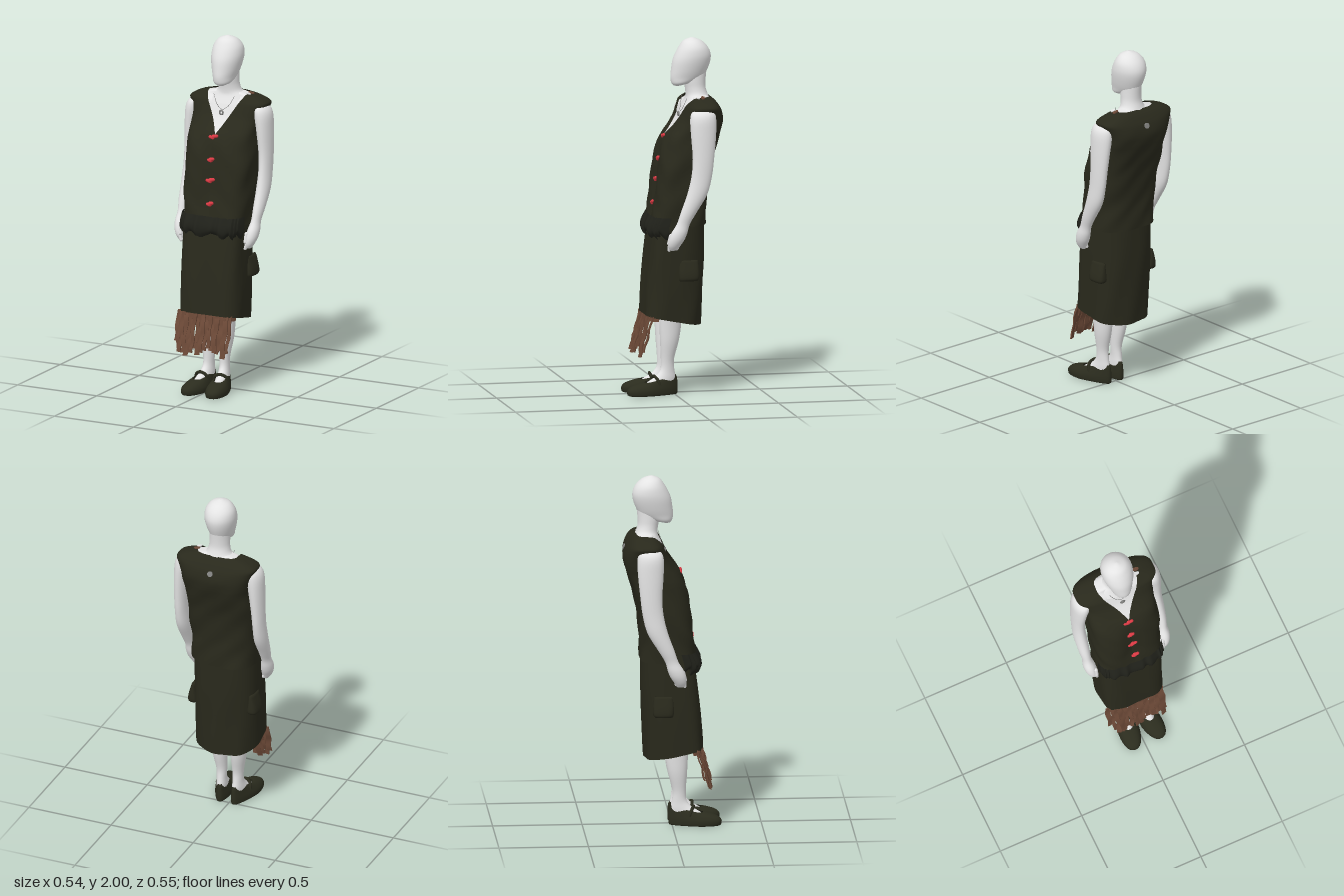
import * as THREE from 'three';

const mat = (name, color) => {
  const m = new THREE.MeshStandardMaterial({ color });
  m.name = name;
  m.side = THREE.DoubleSide;
  return m;
};
const curve = pts => new THREE.CatmullRomCurve3(pts.map(q => new THREE.Vector3(...q)));
const clamp01 = v => Math.max(0, Math.min(1, v));

// Smooth interpolation through the rows of a cross-section list
function sample(rows, t) {
  const f = t * (rows.length - 1), i = Math.min(Math.floor(f), rows.length - 2), u = f - i;
  const at = k => rows[Math.max(0, Math.min(rows.length - 1, k))];
  return rows[0].map((_, c) => {
    const [a, b, d, e] = [at(i - 1)[c], at(i)[c], at(i + 1)[c], at(i + 2)[c]];
    const v0 = (d - a) / 2, v1 = (e - b) / 2;
    return b + v0 * u + (3 * (d - b) - 2 * v0 - v1) * u * u + (2 * (b - d) + v0 + v1) * u * u * u;
  });
}

// Surface through horizontal rings [y, centre x, half width, front z, back z], listed upwards.
// p and pb square the front and back of the rings, gap(y, w) opens them at the front,
// span limits the angle, warp bends them.
function loft(rows, { p = 1, pb = p, n = 28, sub = 4, gap, span = Math.PI, caps = false, warp } = {}) {
  const pos = [], idx = [], m = (rows.length - 1) * sub;
  const closed = !gap && span === Math.PI, cols = closed ? n : n + 1;
  const pw = (v, e) => Math.sign(v) * Math.abs(v) ** e;
  const v = new THREE.Vector3();
  for (let i = 0; i <= m; i++) {
    const [y, xc, w, zf, zb] = sample(rows, i / m);
    const g = gap ? gap(y, w) : Math.PI - span;
    for (let j = 0; j < cols; j++) {
      const a = gap ? g + (j / n) * 2 * (Math.PI - g) : -span + (j / n) * 2 * span;
      const e = Math.cos(a) > 0 ? p : pb;
      v.set(xc + w * pw(Math.sin(a), e), y, (zf + zb) / 2 + (zf - zb) / 2 * pw(Math.cos(a), e));
      if (warp) warp(v, i / m, a);
      pos.push(v.x, v.y, v.z);
    }
  }
  for (let i = 0; i < m; i++) for (let j = 0; j < n; j++) {
    const k = (j + 1) % cols, a = i * cols + j, b = i * cols + k;
    idx.push(a, b, b + cols, a, b + cols, a + cols);
  }
  if (caps) for (let j = 1; j < cols - 1; j++) {
    const t = m * cols;
    idx.push(0, j + 1, j, t, t + j, t + j + 1);
  }
  const geo = new THREE.BufferGeometry();
  geo.setAttribute('position', new THREE.Float32BufferAttribute(pos, 3));
  geo.setIndex(idx);
  geo.computeVertexNormals();
  return geo;
}

export function createModel() {
  const root = new THREE.Group();
  const skin = mat('pale skin', 0xe4e4e4), cloth = mat('dark olive cloth', 0x29291c);
  const frill = mat('dark frill', 0x20211a), brown = mat('brown fringe', 0x6c4937);
  const red = mat('red clasps', 0xdb3a44), grey = mat('grey metal', 0x858583);
  const leather = mat('olive leather', 0x2b2c1e);
  const add = (name, geo, m, parent = root) => {
    const mesh = new THREE.Mesh(geo, m);
    mesh.name = name;
    parent.add(mesh);
    return mesh;
  };
  let seed = 7;
  const rnd = () => (seed = (seed * 16807) % 2147483647) / 2147483647;

  // Head and neck
  add('head', loft([
    [1.732, 0, 0.022, -0.008, -0.05], [1.748, 0, 0.05, 0.004, -0.11], [1.78, 0, 0.063, 0.009, -0.175],
    [1.82, 0, 0.076, 0.005, -0.2], [1.87, 0, 0.087, -0.003, -0.217], [1.91, 0, 0.089, -0.018, -0.218],
    [1.95, 0, 0.08, -0.04, -0.2], [1.983, 0, 0.052, -0.066, -0.165], [2, 0, 0.008, -0.105, -0.122],
  ], { caps: true, n: 32 }), skin);
  add('neck', loft([
    [1.62, 0, 0.13, -0.055, -0.22], [1.66, 0, 0.1, -0.075, -0.21], [1.685, 0, 0.07, -0.078, -0.2],
    [1.72, 0, 0.059, -0.074, -0.19], [1.76, 0, 0.057, -0.065, -0.19], [1.81, 0, 0.056, -0.06, -0.195],
  ]), skin);

  // Vest with an open V neck, and the torso just inside it
  const vestRows = [
    [0.96, 0, 0.19, 0.135, -0.18], [1.05, 0, 0.19, 0.125, -0.18], [1.15, 0, 0.195, 0.112, -0.185],
    [1.3, 0, 0.2, 0.095, -0.21], [1.4, 0, 0.2, 0.07, -0.238], [1.46, 0, 0.2, 0.042, -0.256],
    [1.5, 0, 0.204, 0.012, -0.267], [1.55, 0, 0.21, -0.022, -0.274], [1.6, 0, 0.228, -0.045, -0.264],
    [1.632, 0, 0.238, -0.06, -0.247], [1.66, 0, 0.185, -0.085, -0.225], [1.677, 0, 0.118, -0.1, -0.2],
  ];
  const P = 0.58;
  const neckline = (y, w) => {
    const half = Math.max(0, 0.118 * (y - 1.465) / 0.205);
    return Math.asin(Math.min(1, half / w) ** (1 / P));
  };
  // Cloth folds, with a shallow valley along the front closure
  const folds = v => {
    const f = clamp01((1.62 - v.y) * 5);
    const front = v.z > 0 ? clamp01((1.46 - v.y) * 8) * clamp01((v.y - 0.96) * 6) : 0;
    v.z += f * 0.006 * Math.sin(v.x * 27 + v.y * 14) * Math.sin(v.y * 23 + v.x * 9);
    v.z -= front * 0.018 * Math.exp(-((v.x / 0.045) ** 2));
    v.x += f * 0.004 * Math.sin(v.y * 30 + v.z * 25);
  };
  add('vest', loft(vestRows, { p: P, pb: 0.68, n: 80, gap: neckline, warp: folds }), cloth);
  const torsoRows = vestRows.slice(4, -1).map(([y, x, w, zf, zb]) => [y - 0.006, x, w * 0.92, zf - 0.015, zb + 0.018]);
  torsoRows.push([1.672, 0, 0.11, -0.105, -0.195], [1.684, 0, 0.05, -0.11, -0.185]);
  add('torso', loft(torsoRows, { p: P, pb: 0.68, n: 48 }), skin);

  // Worn patches on the left shoulder seam, and a small disc below the nape
  for (const [name, m, x, z, w, d] of [['shoulderFray', brown, 0.13, -0.148, 0.04, 0.022], ['shoulderHole', skin, 0.126, -0.123, 0.03, 0.02]]) {
    const patch = add(name, new THREE.CylinderGeometry(0.5, 0.5, 0.006, 7).scale(w, 1, d), m);
    patch.position.set(x, 1.677, z);
    patch.rotation.z = -0.2;
  }
  const disc = add('napeDisc', new THREE.CylinderGeometry(0.016, 0.016, 0.008, 16), grey);
  disc.position.set(0, 1.597, -0.266);
  disc.rotation.x = Math.PI / 2 + 0.25;

  // Gathered frill on the front hem of the vest
  add('vestFrill', loft([
    [0.905, 0, 0.18, 0.145, -0.1], [0.93, 0, 0.194, 0.158, -0.1],
    [0.965, 0, 0.194, 0.155, -0.1], [1.012, 0, 0.19, 0.133, -0.1],
  ], {
    p: P, n: 160, span: 1.5, warp: (v, t, a) => {
      const s = Math.sin(a * 22 + Math.sin(a * 7) * 2);
      v.z += 0.01 * s * (1 - t * 0.7);
      v.y += (1 - t) * (0.014 * Math.sin(a * 13) + 0.008 * s);
    },
  }), frill);

  // Knotted clasps down the front of the vest
  for (const [x, y, z, w] of [[-0.004, 1.45, 0.045, 0.05], [-0.004, 1.325, 0.076, 0.032], [0, 1.21, 0.09, 0.048], [0.008, 1.08, 0.111, 0.034]]) {
    const clasp = new THREE.Group();
    clasp.name = 'clasp';
    clasp.position.set(x, y, z);
    root.add(clasp);
    add('claspKnot', new THREE.SphereGeometry(0.014, 12, 8), red, clasp);
    for (const s of [-1, 1]) {
      const loop = add('claspLoop', new THREE.CapsuleGeometry(0.0095, w * 0.4, 4, 8), red, clasp);
      loop.rotation.z = Math.PI / 2 + s * 0.3;
      loop.position.set(s * w * 0.22, s * 0.004, 0.004);
    }
  }

  // Necklace with a pendant
  const chain = curve([[-0.065, 1.665, -0.07], [-0.035, 1.61, -0.054], [0, 1.588, -0.047],
    [0.035, 1.61, -0.054], [0.065, 1.665, -0.07]]);
  add('necklaceChain', new THREE.TubeGeometry(chain, 24, 0.0013, 6), grey);
  const ring = add('pendant', new THREE.TorusGeometry(0.011, 0.005, 6, 14), grey);
  ring.position.set(0, 1.572, -0.036);

  // Skirt, square in front and round behind, hem lower at the back
  add('skirt', loft([
    [0.42, 0, 0.18, 0.17, -0.155], [0.6, 0, 0.183, 0.158, -0.165],
    [0.8, 0, 0.184, 0.14, -0.175], [1.02, 0, 0.18, 0.115, -0.172],
  ], {
    p: 0.42, pb: 0.85, n: 72, sub: 6, warp: v => {
      const f = clamp01((1 - v.y) * 2);
      v.z += 0.004 * Math.sin(v.x * 40 + v.y * 8) * f;
      v.x += 0.003 * Math.sin(v.z * 35 + v.y * 11) * f;
      v.y += 0.2 * v.z * f;
    },
  }), cloth);

  // Ragged fringe hanging from the front of the hem
  const fringe = new THREE.Group();
  fringe.name = 'fringe';
  root.add(fringe);
  const strips = 18;
  for (let i = 0; i < strips; i++) {
    const u = 2 * i / (strips - 1) - 1, len = 0.17 + 0.075 * rnd(), width = 0.017 + 0.013 * rnd();
    const geo = new THREE.BoxGeometry(width, len, 0.007, 2, 8, 1).translate(0, -len / 2, 0);
    const q = geo.attributes.position, twist = (rnd() - 0.5) * 4, ph = rnd() * 6;
    for (let k = 0; k < q.count; k++) {
      const x = q.getX(k), y = q.getY(k), z = q.getZ(k), a = twist * y;
      q.setXYZ(k, x * Math.cos(a) + z * Math.sin(a) + 0.004 * Math.sin(y * 45 + ph), y,
        z * Math.cos(a) - x * Math.sin(a) - y * 0.26 + 0.004 * Math.sin(y * 60 + ph));
    }
    geo.computeVertexNormals();
    const strip = add('fringeStrip', geo, brown, fringe);
    strip.position.set(u * 0.163 - 0.008, 0.455, 0.168 - 0.02 * u ** 6 - 0.025 * rnd());
  }
  // Band joining the tops of the strips
  add('fringeBand', loft([[0.425, 0, 0.175, 0.165, -0.15], [0.47, 0, 0.175, 0.16, -0.15]],
    { p: 0.42, n: 40, span: 1.2 }), brown, fringe);

  for (const s of [1, -1]) {
    const side = s > 0 ? 'left' : 'right';

    // Side pocket that flares at the bottom
    add(side + 'Pocket', loft([
      [0.655, s * 0.18, 0.024, -0.005, -0.105], [0.67, s * 0.18, 0.032, 0, -0.115],
      [0.71, s * 0.18, 0.026, 0, -0.115], [0.77, s * 0.175, 0.012, -0.005, -0.11],
    ], { p: 0.7, n: 24, caps: true }), cloth);

    // Arm with hand
    add(side + 'Arm', loft([
      [0.835, 0.212, 0.014, 0.058, 0.015], [0.86, 0.217, 0.027, 0.068, 0], [0.895, 0.224, 0.034, 0.066, -0.022],
      [0.935, 0.229, 0.033, 0.052, -0.038], [0.985, 0.232, 0.026, 0.022, -0.052], [1.05, 0.235, 0.031, 0, -0.09],
      [1.15, 0.236, 0.036, -0.036, -0.15], [1.25, 0.236, 0.034, -0.06, -0.177], [1.35, 0.234, 0.036, -0.068, -0.19],
      [1.48, 0.226, 0.042, -0.06, -0.203], [1.57, 0.214, 0.048, -0.058, -0.206],
      [1.612, 0.203, 0.035, -0.075, -0.193], [1.63, 0.19, 0.006, -0.125, -0.14],
    ].map(([y, x, ...r]) => [y, s * x, ...r]), { n: 24, caps: true }), skin);
    for (let f = 0; f < 4; f++) {
      const finger = add(side + 'Finger', new THREE.CapsuleGeometry(0.0095, 0.035, 4, 8), skin);
      finger.position.set(s * 0.208, 0.852 + f * 0.004, 0.06 - f * 0.016);
      finger.rotation.z = -s * 0.3;
    }
    const thumb = add(side + 'Thumb', new THREE.CapsuleGeometry(0.011, 0.045, 4, 8), skin);
    thumb.position.set(s * 0.205, 0.895, 0.056);
    thumb.rotation.x = -0.25;

    // Leg, foot and strapped shoe, toes turned out
    const foot = new THREE.Group();
    foot.name = side + 'LegAndShoe';
    foot.position.x = s > 0 ? 0.056 : -0.032;
    foot.rotation.y = s > 0 ? 0.16 : -0.13;
    root.add(foot);
    add(side + 'Leg', loft([
      [0.03, 0, 0.036, 0.2, -0.008], [0.07, 0, 0.034, 0.165, -0.008], [0.1, 0, 0.031, 0.115, -0.008],
      [0.14, 0, 0.028, 0.082, 0], [0.2, 0, 0.031, 0.078, 0.002], [0.3, s * 0.008, 0.041, 0.085, -0.022],
      [0.4, s * 0.012, 0.044, 0.09, -0.035], [0.52, s * 0.018, 0.046, 0.09, -0.03],
    ], { n: 24 }), skin, foot);
    const heelOf = z => clamp01(1 - z / 0.16);
    add(side + 'Shoe', loft([
      [0, 0, 0.05, 0.265, -0.012], [0.006, 0, 0.06, 0.275, -0.018], [0.03, 0, 0.062, 0.277, -0.02],
      [0.052, 0, 0.055, 0.255, -0.019], [0.07, 0, 0.045, 0.2, -0.016], [0.074, 0, 0.037, 0.175, -0.01],
    ], {
      p: 0.85, n: 36, warp: (v, t) => {
        const heel = heelOf(v.z);
        v.x *= 1 - 0.4 * heel;
        v.y += 0.035 * heel * t * t;
      },
    }), leather, foot);
    add(side + 'Sole', loft([[0, 0, 0.045, 0.255, -0.01], [0.004, 0, 0.055, 0.27, -0.014]], {
      p: 0.85, caps: true, warp: v => { v.x *= 1 - 0.4 * heelOf(v.z); },
    }), leather, foot);
    const strap = curve([[-0.042, 0.055, 0.1], [-0.034, 0.09, 0.112], [0, 0.106, 0.12],
      [0.034, 0.09, 0.112], [0.042, 0.055, 0.1]]);
    add(side + 'ShoeStrap', new THREE.TubeGeometry(strap, 20, 0.009, 8), leather, foot);
  }
  return root;
}
